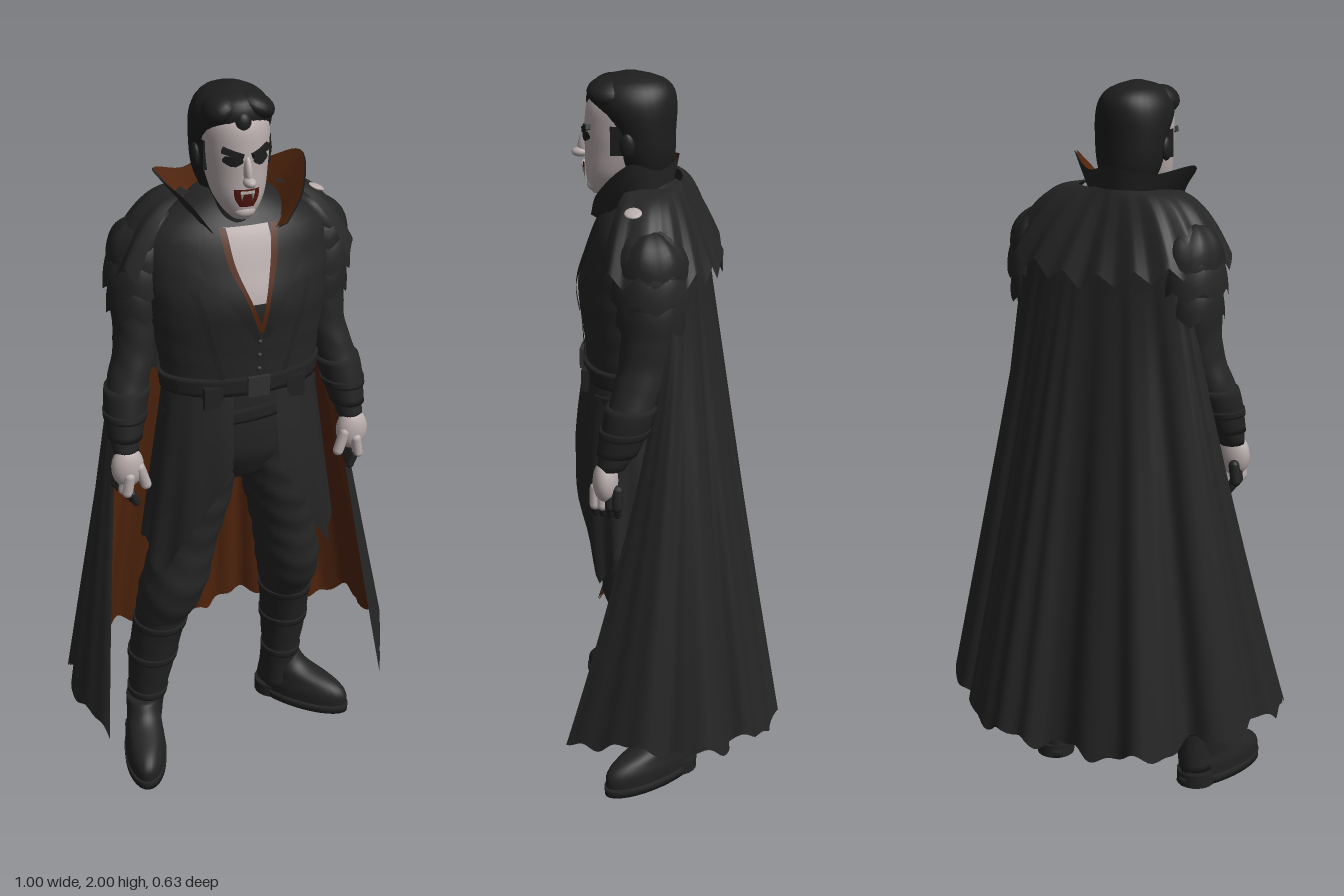
import * as THREE from 'three';
import { mergeVertices } from 'three/addons/utils/BufferGeometryUtils.js';

const mat = (name, color, side = THREE.FrontSide) => new THREE.MeshStandardMaterial({ name, color, side });
const cloth = mat('black cloth', 0x252526, THREE.DoubleSide), leather = mat('dark leather', 0x222223, THREE.DoubleSide);
const hairMat = mat('black hair', 0x1d1d1e), skin = mat('pale skin', 0xb8acac), lining = mat('rust lining', 0x51250d);
const mouthMat = mat('dark red', 0x4c150d), metal = mat('dull metal', 0x303032);
const { sin, cos, abs, sign, PI, sqrt, max, min } = Math;

// Smooth interpolation of rows sorted by their first value (height)
function at(rows, y) {
  let i = 0;
  while (i < rows.length - 2 && y > rows[i + 1][0]) i++;
  const a = rows[i], b = rows[i + 1], p = rows[i - 1] || a, q = rows[i + 2] || b, h = b[0] - a[0];
  const t = max(0, min(1, (y - a[0]) / h)), t2 = t * t, t3 = t2 * t;
  return a.map((v, k) => {
    const m0 = (b[k] - p[k]) / (b[0] - p[0]) * h, m1 = (q[k] - v) / (q[0] - a[0]) * h;
    return (2 * t3 - 3 * t2 + 1) * v + (t3 - 2 * t2 + t) * m0 + (3 * t2 - 2 * t3) * b[k] + (t3 - t2) * m1;
  });
}

// Surface from f(u, v) -> [x, y, z]; the front side is du x dv
function grid(nu, nv, f, flip = false) {
  const pos = [], idx = [];
  for (let j = 0; j <= nv; j++) for (let i = 0; i <= nu; i++) pos.push(...f(i / nu, j / nv));
  for (let j = 0; j < nv; j++) for (let i = 0; i < nu; i++) {
    const a = j * (nu + 1) + i, b = a + 1, c = b + nu + 1, d = c - 1;
    idx.push(...(flip ? [a, c, b, a, d, c] : [a, b, c, a, c, d]));
  }
  let g = new THREE.BufferGeometry();
  g.setAttribute('position', new THREE.Float32BufferAttribute(pos, 3));
  g.setIndex(idx);
  g = mergeVertices(g, 1e-5);
  g.computeVertexNormals();
  return g;
}

// Closed body from elliptical rows [y, centreX, centreZ, radiusX, radiusZ]
function loft(rows, { lo = rows[0][0], hi = rows[rows.length - 1][0], grow = 0, nv = 24, nu = 32, folds = 0 } = {}) {
  const n = nv + 2;
  return grid(nu, n, (u, v) => {
    const j = Math.round(v * n), y = lo + (hi - lo) * max(0, min(1, (j - 1) / nv));
    const [, cx, cz, rx, rz] = at(rows, y), th = (u % 1) * 2 * PI;
    const k = j === 0 || j === n ? 0 : 1 + folds * sin(y * 75 + 2 * sin(th) + 1.5 * cos(2 * th));
    return [cx + (rx + grow) * k * sin(th), y, cz + (rz + grow) * k * cos(th)];
  });
}
const frontZ = (rows, x, y) => {
  const [, cx, cz, rx, rz] = at(rows, y);
  return cz + rz * sqrt(max(0, 1 - ((x - cx) / rx) ** 2));
};
// Thin plate lying on the front of a body; strip rows are [y, centreX, width]
const patch = (body, strip, off) => grid(8, 16, (u, v) => {
  const y = strip[0][0] + (strip[strip.length - 1][0] - strip[0][0]) * v, [, cx, w] = at(strip, y);
  const x = cx + (u - 0.5) * w;
  return [x, y, frontZ(body, x, y) + off];
});

const TORSO = [[0.92, 0, 0.1, 0.11, 0.09], [1, 0, 0.11, 0.18, 0.12], [1.1, 0, 0.12, 0.2, 0.12], [1.22, 0, 0.122, 0.212, 0.118],
  [1.35, 0, 0.118, 0.23, 0.13], [1.45, 0, 0.112, 0.242, 0.144], [1.55, 0, 0.092, 0.25, 0.136], [1.63, 0, 0.078, 0.23, 0.12],
  [1.69, -0.01, 0.07, 0.14, 0.09], [1.73, -0.01, 0.08, 0.08, 0.07]];
const HEAD = [[1.68, -0.02, 0.19, 0.025, 0.03], [1.7, -0.02, 0.18, 0.045, 0.05], [1.74, -0.02, 0.165, 0.067, 0.072],
  [1.8, -0.02, 0.145, 0.08, 0.093], [1.86, -0.02, 0.135, 0.087, 0.103], [1.92, -0.02, 0.125, 0.086, 0.104], [1.97, -0.02, 0.12, 0.06, 0.075]];
const HAIR = [[1.72, -0.02, 0.07, 0.065, 0.055], [1.78, -0.02, 0.08, 0.09, 0.08], [1.85, -0.02, 0.087, 0.1, 0.09],
  [1.92, -0.02, 0.107, 0.103, 0.113], [1.96, -0.02, 0.112, 0.088, 0.108], [1.985, -0.02, 0.115, 0.06, 0.08], [2, -0.02, 0.115, 0.015, 0.02]];
const ARM = [[1.03, 0.325, 0.14, 0.034, 0.038], [1.08, 0.32, 0.12, 0.042, 0.05], [1.18, 0.305, 0.09, 0.055, 0.06], [1.3, 0.272, 0.06, 0.055, 0.063],
  [1.42, 0.268, 0.045, 0.058, 0.07], [1.55, 0.262, 0.04, 0.068, 0.088], [1.63, 0.23, 0.045, 0.06, 0.075], [1.67, 0.19, 0.05, 0.035, 0.045]];
const BOOTS = { right: [[0.05, -0.275, 0.065, 0.05, 0.058], [0.15, -0.265, 0.065, 0.052, 0.06], [0.3, -0.245, 0.068, 0.068, 0.076], [0.48, -0.215, 0.09, 0.076, 0.086]],
  left: [[0.05, 0.18, 0, 0.05, 0.058], [0.15, 0.185, 0, 0.052, 0.06], [0.3, 0.19, 0.005, 0.068, 0.076], [0.48, 0.18, 0.045, 0.076, 0.086]] };
const TROUSERS = { right: [[0.44, -0.222, 0.085, 0.07, 0.08], [0.52, -0.2, 0.1, 0.09, 0.1], [0.6, -0.18, 0.11, 0.094, 0.104], [0.7, -0.155, 0.11, 0.09, 0.1], [0.85, -0.118, 0.11, 0.096, 0.11], [1.02, -0.09, 0.11, 0.1, 0.11]],
  left: [[0.44, 0.18, 0.04, 0.07, 0.08], [0.52, 0.175, 0.065, 0.088, 0.1], [0.6, 0.165, 0.085, 0.092, 0.104], [0.7, 0.145, 0.1, 0.09, 0.1], [0.85, 0.118, 0.11, 0.096, 0.11], [1.02, 0.09, 0.11, 0.1, 0.11]] };
const FOOT = [[0.02, 0, 0.08, 0.058, 0.152], [0.06, 0, 0.08, 0.058, 0.15], [0.09, 0, 0.065, 0.052, 0.13], [0.125, 0, 0.02, 0.05, 0.08], [0.17, 0, 0, 0.05, 0.058]];
// Cape hem seen from above, from the right front edge round the back
const HEM = [[-0.44, 0.29], [-0.48, 0.18], [-0.5, 0.1], [-0.47, 0.04], [-0.48, -0.02], [-0.42, -0.1], [-0.35, -0.11], [-0.33, -0.19], [-0.27, -0.255],
  [-0.2, -0.25], [-0.12, -0.28], [-0.03, -0.255], [0.02, -0.265], [0.07, -0.305], [0.11, -0.297], [0.16, -0.315], [0.2, -0.295], [0.24, -0.29],
  [0.29, -0.26], [0.33, -0.24], [0.34, -0.18], [0.4, -0.185], [0.46, -0.14], [0.47, -0.06], [0.465, -0.03], [0.495, 0.03], [0.47, 0.11], [0.4, 0.27]];
const COLLAR_TOP = [[-0.1, 1.65, 0.2], [-0.15, 1.72, 0.165], [-0.22, 1.79, 0.09], [-0.12, 1.765, 0.03], [-0.02, 1.785, -0.012], [0.08, 1.765, 0.03], [0.175, 1.8, 0.1], [0.15, 1.72, 0.185], [0.1, 1.65, 0.21]];
const curve = pts => new THREE.CatmullRomCurve3(pts.map(p => new THREE.Vector3(p[0], p.length > 2 ? p[1] : 0, p[p.length - 1])));

export function createModel() {
  const root = new THREE.Group();
  const add = (name, geo, m, x = 0, y = 0, z = 0, parent = root) => {
    const o = new THREE.Mesh(geo, m);
    o.name = name;
    o.position.set(x, y, z);
    parent.add(o);
    return o;
  };
  const blob = (name, m, x, y, z, rx, ry, rz) => {
    const o = add(name, new THREE.SphereGeometry(1, 20, 14), m, x, y, z);
    o.scale.set(rx, ry, rz);
    return o;
  };
  const box = (name, m, w, h, d, x, y, z) => add(name, new THREE.BoxGeometry(w, h, d), m, x, y, z);
  // Cloth with a coloured lining just inside it, starting at v = from
  const lined = (name, nu, nv, from, f) => {
    add(name, grid(nu, nv, f), cloth);
    const g = grid(nu, nv, (u, v) => f(u, from + (1 - from) * v), true), p = g.attributes.position, n = g.attributes.normal;
    for (let i = 0; i < p.count; i++) p.setXYZ(i, p.getX(i) + n.getX(i) * 0.006, p.getY(i) + n.getY(i) * 0.006, p.getZ(i) + n.getZ(i) * 0.006);
    add(name + 'Lining', g, lining);
  };

  // Torso, open shirt, lapels and buttons
  add('torso', loft(TORSO, { nv: 40, folds: 0.006 }), cloth);
  add('neck', loft([[1.6, -0.015, 0.1, 0.075, 0.08], [1.68, -0.018, 0.115, 0.06, 0.065], [1.78, -0.02, 0.11, 0.06, 0.065]]), cloth);
  add('bareChest', patch(TORSO, [[1.46, 0.008, 0.035], [1.52, 0.002, 0.075], [1.6, -0.004, 0.12], [1.65, -0.006, 0.12]], 0.004), skin);
  for (const s of [-1, 1]) {
    add('lapelLining', patch(TORSO, [[1.38, 0.016, 0.012], [1.46, 0.008 + s * 0.026, 0.018], [1.56, s * 0.057, 0.02], [1.65, s * 0.071, 0.022]], 0.006), lining);
    add('lapel', patch(TORSO, [[1.36, 0.016 + s * 0.01, 0.018], [1.48, 0.006 + s * 0.06, 0.05], [1.56, s * 0.1, 0.07], [1.66, s * 0.1, 0.04]], 0.008), leather);
    add('coatEdge', patch(TORSO, [[1.2, s * 0.075, 0.02], [1.34, s * 0.11, 0.016], [1.5, s * 0.155, 0.022]], 0.005), leather);
  }
  for (const y of [1.27, 1.31, 1.35]) blob('button', metal, 0.014, y, frontZ(TORSO, 0.014, y), 0.007, 0.007, 0.006);

  // Belts
  add('belt', loft(TORSO, { lo: 1.2, hi: 1.25, grow: 0.009, nv: 4 }), leather);
  add('slungBelt', loft(TORSO, { lo: 1.13, hi: 1.165, grow: 0.014, nv: 4 }), leather, 0.115).rotation.z = 0.1;
  box('buckle', metal, 0.06, 0.055, 0.012, 0.01, 1.225, 0.252);
  for (const x of [-0.11, 0.12]) box('beltPouch', leather, 0.05, 0.06, 0.03, x, 1.2, frontZ(TORSO, x, 1.2) + 0.006);

  // Coat skirt, open at the front and split high at the back
  add('coatSkirt', grid(72, 20, (u, v) => {
    const th = 0.28 + u * (2 * PI - 0.56), d = min(th, 2 * PI - th);
    const side = 0.64 + 0.1 * min(1, (d - 1.05) * 2) + 0.26 * max(0, min(1, (d - 1.9) / 0.7));
    const hem = d < 1.05 ? 1.0 - 0.36 * (d - 0.28) / 0.77 : side;
    const y = 1.2 + (hem - 1.2) * v, w = (1.2 - y) / 0.56, f = 1 + 0.035 * w * sin(th * 14);
    return [(0.212 + 0.075 * w) * f * sin(th), y, 0.122 + (0.13 + 0.03 * sin(min(1, w) * PI)) * f * cos(th)];
  }, true), cloth);

  // Head, hair and face
  add('face', loft(HEAD, { nv: 30 }), skin);
  add('hair', loft(HAIR, { nv: 30 }), hairMat);
  blob('frontLock', hairMat, -0.07, 1.95, 0.165, 0.045, 0.035, 0.055).rotation.z = 0.5;
  blob('frontLock', hairMat, 0.02, 1.955, 0.165, 0.055, 0.032, 0.06).rotation.z = -0.4;
  blob('widowsPeak', hairMat, -0.025, 1.925, 0.215, 0.022, 0.028, 0.018);
  blob('noseBridge', skin, -0.02, 1.812, 0.238, 0.011, 0.04, 0.018).rotation.x = -0.25;
  blob('noseTip', skin, -0.02, 1.786, 0.252, 0.016, 0.013, 0.022);
  blob('chin', skin, -0.02, 1.702, 0.217, 0.028, 0.018, 0.018);
  add('mouth', patch(HEAD, [[1.72, -0.022, 0.036], [1.742, -0.022, 0.06], [1.766, -0.022, 0.066]], 0.006), mouthMat);
  box('upperTeeth', skin, 0.036, 0.007, 0.008, -0.022, 1.758, 0.242);
  for (const s of [-1, 1]) {
    const x = -0.02 + s * 0.036;
    add('eye', patch(HEAD, [[1.824, x, 0.012], [1.836, x, 0.046], [1.85, x, 0.034]], 0.005), hairMat);
    const brow = box('eyebrow', hairMat, 0.056, 0.014, 0.014, x, 1.857, 0.229);
    brow.rotation.set(0, s * 0.35, s * 0.32);
    box('sideburn', hairMat, 0.01, 0.075, 0.035, -0.02 + s * 0.084, 1.835, 0.143);
    blob('ear', hairMat, -0.02 + s * 0.095, 1.825, 0.115, 0.012, 0.032, 0.02);
    const fang = add('fang', new THREE.ConeGeometry(0.005, 0.02, 8), skin, -0.022 + s * 0.014, 1.747, 0.243);
    fang.rotation.x = PI;
  }

  // Standing collar
  const top = curve(COLLAR_TOP);
  lined('collar', 64, 10, 0, (u, v) => {
    const p = top.getPoint(u), a = (u - 0.5) * 1.5 * PI, k = v ** 0.8;
    const base = [-0.01 + 0.1 * sin(a), 1.68 - 0.06 * abs(2 * u - 1), 0.11 - 0.1 * cos(a)];
    return p.toArray().map((c, i) => c + (base[i] - c) * k);
  });

  // Long cape with ragged hem; its lining starts below the elbows
  const hem = curve(HEM);
  lined('cape', 150, 30, 0.33, (u, v) => {
    const p = hem.getPointAt(u), e = abs(2 * u - 1);
    const x0 = -0.26 * cos(PI * u), z0 = -0.02 - 0.06 * sin(PI * u);
    const hemY = 0.18 + 0.02 * e + 0.065 * sin(PI * e ** 2.4) + 0.014 * sin(u * 58) + 0.008 * sin(u * 131);
    return [x0 + (p.x - x0) * v, 1.58 + (hemY - 1.58) * v, z0 + (p.z - z0) * v ** (1 + 0.4 * e * e)];
  });

  // Shoulder mantle with zigzag edge
  add('mantle', grid(96, 14, (u, v) => {
    const a = (u - 0.5) * 4.1, zig = abs(((u * 12) % 1) * 2 - 1), s = abs(sin(a)), c = cos(a);
    return [-0.01 * (1 - v) + (0.125 + 0.202 * v) * sin(a), 1.725 - (0.215 + 0.04 * zig - 0.05 * s) * v ** (1 + 1.5 * s * s),
      0.06 - (0.08 + 0.11 * v) * sign(c) * abs(c) ** 0.75];
  }), cloth);

  for (const s of [-1, 1]) {
    // Sleeves, bracers and layered shoulder plates
    const arm = ARM.map(([y, x, ...r]) => [y, x * s, ...r]);
    add('sleeve', loft(arm, { nv: 36, folds: 0.02 }), cloth);
    add('bracer', loft(arm, { lo: 1.07, hi: 1.2, grow: 0.006, nv: 8 }), leather);
    add('bracerStrap', loft(arm, { lo: 1.12, hi: 1.14, grow: 0.01, nv: 3 }), leather);
    [[1.655, 0.1, 0, 0.086], [1.58, 0.1, 0.05, 0.09], [1.5, 0.09, 0.05, 0.078]].forEach(([y, h, r0, r1], i) =>
      add('shoulderPlate', grid(42, 8, (u, v) => {
        const th = u * 2 * PI, t = 1 - v, r = r0 + (r1 - r0) * sin(t * PI / 2), zig = abs(((u * 7) % 1) * 2 - 1);
        return [s * (0.245 + 0.006 * i) + r * sin(th), y - (h + 0.025 * zig) * t ** 1.7, 0.04 + r * 1.15 * cos(th)];
      }), i % 2 ? cloth : leather));

    // Hands with curled fingers, dark behind and at the tips
    blob('palm', skin, s * 0.325, 0.992, 0.155, 0.045, 0.06, 0.034);
    for (let i = 0; i < 4; i++) {
      const z = 0.122 + i * 0.02, x = s * (0.346 - 0.005 * i);
      const f = add('finger', new THREE.CapsuleGeometry(0.015, 0.045, 4, 10), i < 2 ? leather : skin, x, 0.95, z);
      f.rotation.z = s * 0.15;
      const tip = add('fingertip', new THREE.CapsuleGeometry(0.011, 0.03, 4, 10), leather, x - s * 0.014, 0.908, z + 0.002);
      tip.rotation.z = -s * 0.4;
    }
    const thumb = add('thumb', new THREE.CapsuleGeometry(0.015, 0.055, 4, 10), skin, s * 0.288, 0.965, 0.172);
    thumb.rotation.z = s * -0.3;

    // Legs and boots
    const side = s < 0 ? 'right' : 'left', boot = BOOTS[side];
    add(side + 'TrouserLeg', loft(TROUSERS[side], { nv: 44, folds: 0.022 }), cloth);
    add(side + 'BootShaft', loft(boot, { nv: 24, folds: 0.008 }), leather);
    for (const y of [0.17, 0.3, 0.42]) add(side + 'BootStrap', loft(boot, { lo: y, hi: y + 0.022, grow: 0.004, nv: 3 }), leather);
    const foot = new THREE.Group();
    foot.name = side + 'Foot';
    foot.position.set(boot[0][1] + (s < 0 ? -0.005 : 0.005), 0, boot[0][2] + (s < 0 ? 0.015 : -0.008));
    foot.rotation.y = s < 0 ? -0.24 : 0.74;
    root.add(foot);
    add('bootFoot', loft(FOOT), leather, 0, 0, 0, foot);
    add('sole', loft([[0, 0, 0.08, 0.061, 0.157], [0.026, 0, 0.08, 0.062, 0.158]], { nv: 2 }), leather, 0, 0, 0, foot);
    add('heel', new THREE.CylinderGeometry(0.056, 0.056, 0.04, 20), leather, 0, 0.02, -0.02, foot);
  }
  const stud = blob('shoulderStud', skin, 0.225, 1.69, 0.085, 0.023, 0.007, 0.023);
  stud.rotation.z = -0.35;
  return root;
}
